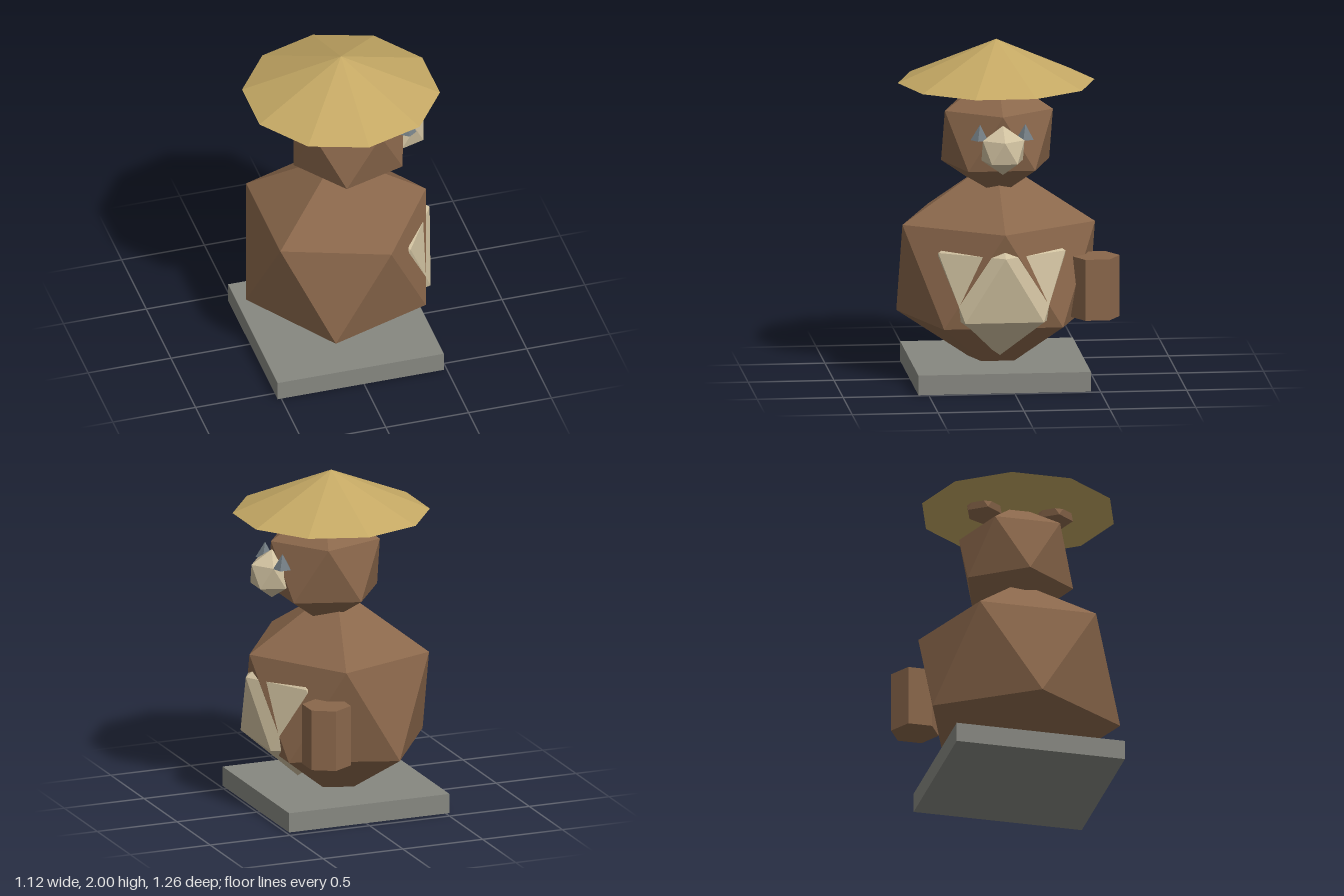
import * as THREE from 'three';

const mat = (name, color) => {
  const m = new THREE.MeshStandardMaterial({ color });
  m.name = name;
  return m;
};

// Faceted normals for low-poly shapes
const faceted = (geometry) => {
  const g = geometry.index ? geometry.toNonIndexed() : geometry;
  g.computeVertexNormals();
  return g;
};

// Icosahedron standing on a vertex, with one upper ring vertex toward +x
const gem = (rx, ry, rz) =>
  faceted(new THREE.IcosahedronGeometry(1, 0).rotateZ(-Math.atan2(1, (1 + Math.sqrt(5)) / 2)).scale(rx, ry, rz));

export function createModel() {
  const fur = mat('brown fur', 0x8a674b);
  const cream = mat('cream fur', 0xcfc09f);
  const straw = mat('straw', 0xc4a864);
  const stone = mat('grey stone', 0x868780);
  const slate = mat('slate eye', 0x707a80);

  const model = new THREE.Group();
  model.name = 'bearStatue';
  const midZ = 0.057; // symmetry plane of the animal, which looks along +x

  const add = (name, geometry, material, x, y, z) => {
    const mesh = new THREE.Mesh(geometry, material);
    mesh.name = name;
    mesh.position.set(x, y, z);
    model.add(mesh);
  };

  // Plinth
  add('plinth', new THREE.BoxGeometry(1.005, 0.116, 1.005), stone, -0.02, 0.058, midZ);

  // Body, belly patch, head and snout
  add('body', gem(0.607, 0.637, 0.659), fur, -0.02, 0.655, midZ);
  add('belly', gem(0.364, 0.436, 0.435), cream, 0.22, 0.61, midZ);
  add('head', gem(0.372, 0.37, 0.37), fur, 0.055, 1.445, midZ);
  add('snout', gem(0.142, 0.145, 0.142), cream, 0.383, 1.416, midZ);

  // Ears and eyes, mirrored about the middle plane
  for (const side of [-1, 1]) {
    add('ear', gem(0.118, 0.118, 0.118), fur, -0.018, 1.763, midZ + side * 0.213);
    add('eye', faceted(new THREE.ConeGeometry(0.055, 0.09, 5)), slate, 0.37, 1.523, midZ + side * 0.132);
  }

  // Arm on one side
  add('arm', faceted(new THREE.CylinderGeometry(0.142, 0.142, 0.36, 6)), fur, 0.268, 0.58, -0.493);

  // Wide conical hat
  add('hat', faceted(new THREE.ConeGeometry(0.573, 0.25, 10)), straw, 0.01, 1.875, midZ);

  return model;
}
